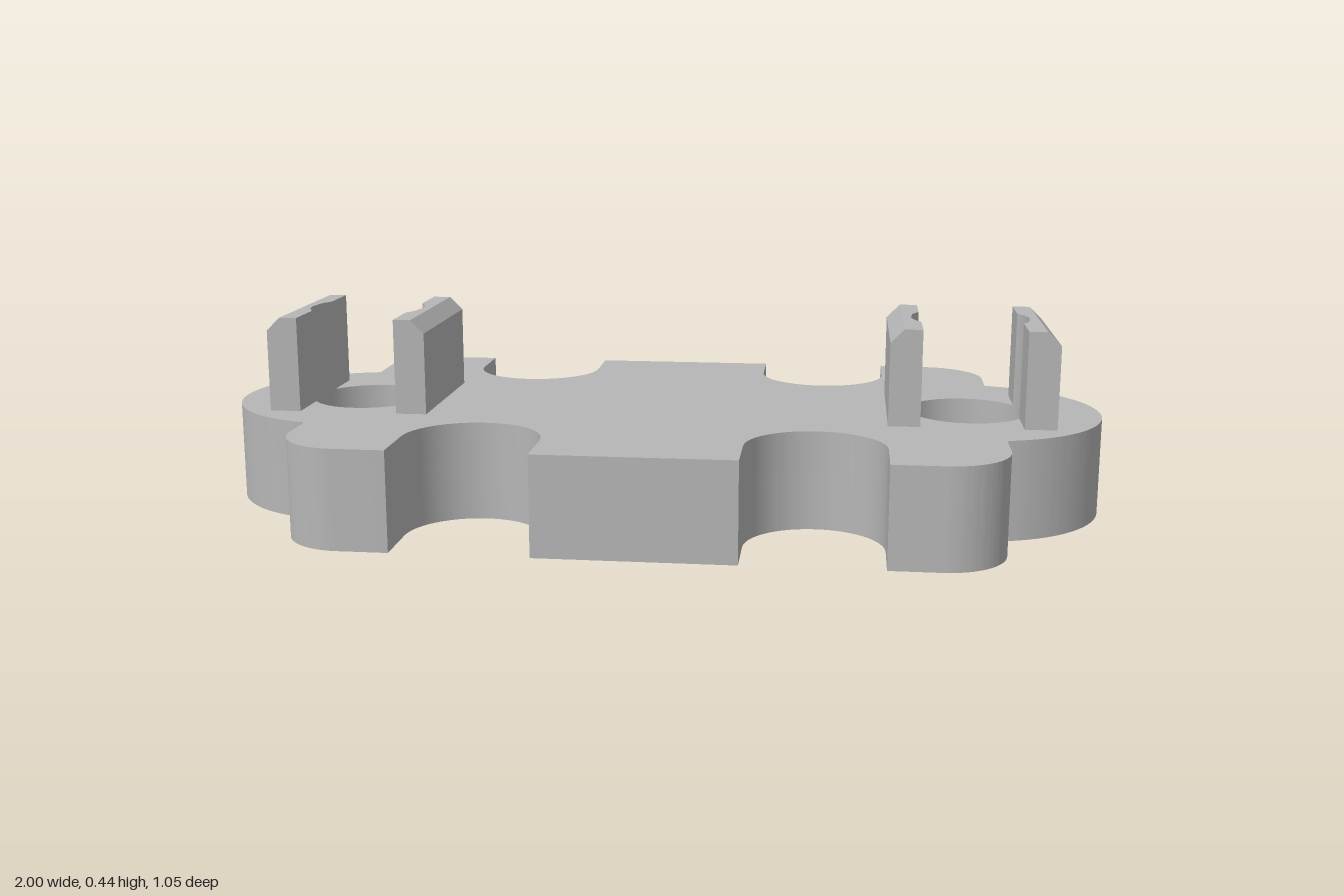
import * as THREE from 'three';
import { toCreasedNormals } from 'three/addons/utils/BufferGeometryUtils.js';

const PLATE_H = 0.22, SINK_H = 0.135;      // plate thickness, countersink depth
const HOLE_X = 0.7, HOLE_R = 0.133, SINK_R = 0.252;

// Outline of the plate: one quadrant, mirrored to all four
function outline() {
  const q = new THREE.Path();
  const a = Math.acos(0.065 / 0.3);
  q.moveTo(0.215, -0.525);
  q.lineTo(0.215, -0.4);
  q.absarc(0.365, -0.4, 0.15, Math.PI, 0, true);           // side notch
  q.lineTo(0.515, -0.525);
  q.lineTo(0.625, -0.525);
  q.absarc(0.625, -0.385, 0.14, -Math.PI / 2, 0, false);   // rounded corner pad
  q.absarc(HOLE_X, 0, 0.3, -a, 0, false);                  // round end
  const quarter = q.getPoints(24);
  const flipped = quarter.slice(0, -1).reverse().map(p => new THREE.Vector2(p.x, -p.y));
  const half = [...quarter, ...flipped];
  return [...half, ...half.map(p => new THREE.Vector2(-p.x, -p.y))];
}

// Plate layer with two round holes, standing from y0 to y1
function layer(holeR, y0, y1) {
  const shape = new THREE.Shape(outline());
  for (const s of [-1, 1]) {
    const hole = new THREE.Path();
    hole.absarc(s * HOLE_X, 0, holeR, 0, Math.PI * 2, true);
    shape.holes.push(hole);
  }
  const g = new THREE.ExtrudeGeometry(shape, { depth: y1 - y0, bevelEnabled: false, curveSegments: 32 });
  g.rotateX(-Math.PI / 2).translate(0, y0, 0);
  return toCreasedNormals(g, 0.5);
}

// Upright rib with a curved bite along the hole and a chamfered outer top edge
function ribGeometry() {
  const inner = 0.112, outer = 0.182, w = 0.182, h = 0.215, chamfer = 0.03;
  const b = Math.acos(inner / HOLE_R);
  const s = new THREE.Shape();
  s.moveTo(inner, -w);
  s.lineTo(outer, -w);
  s.lineTo(outer, w);
  s.lineTo(inner, w);
  s.absarc(0, 0, HOLE_R, b, -b, true);
  s.closePath();
  const g = new THREE.ExtrudeGeometry(s, { depth: h, steps: 2, bevelEnabled: false, curveSegments: 10 });
  const p = g.attributes.position;
  for (let i = 0; i < p.count; i++) {
    const z = p.getZ(i);
    if (z > h * 0.75) {
      if (p.getX(i) > outer - 0.001) p.setX(i, outer - chamfer);
    } else if (z > h * 0.25) p.setZ(i, h - chamfer);
  }
  g.rotateX(-Math.PI / 2);
  return toCreasedNormals(g, 0.5);
}

// Conical countersink wall, facing inward
function sinkGeometry() {
  const g = new THREE.CylinderGeometry(HOLE_R, SINK_R, SINK_H, 64, 1, true);
  g.index.array.reverse();
  const n = g.attributes.normal;
  for (let i = 0; i < n.count; i++) n.setXYZ(i, -n.getX(i), -n.getY(i), -n.getZ(i));
  return g.translate(0, SINK_H / 2, 0);
}

export function createModel() {
  const grey = new THREE.MeshStandardMaterial({ color: 0xb6b6b6 });
  grey.name = 'grey';
  const model = new THREE.Group();
  model.name = 'mountingPlate';

  const add = (parent, geometry, name) => {
    const mesh = new THREE.Mesh(geometry, grey);
    mesh.name = name;
    parent.add(mesh);
    return mesh;
  };

  add(model, layer(SINK_R, 0, SINK_H), 'lowerPlate');
  add(model, layer(HOLE_R, SINK_H, PLATE_H), 'upperPlate');

  // Each end: countersunk hole flanked by two ribs
  const rib = ribGeometry(), sink = sinkGeometry();
  for (const s of [-1, 1]) {
    const end = new THREE.Group();
    end.name = s > 0 ? 'leftSocket' : 'rightSocket';
    end.position.x = s * HOLE_X;
    add(end, sink, 'countersink');
    for (const turn of [0, Math.PI]) {
      const r = add(end, rib, 'rib');
      r.position.y = PLATE_H;
      r.rotation.y = turn;
    }
    model.add(end);
  }
  return model;
}
